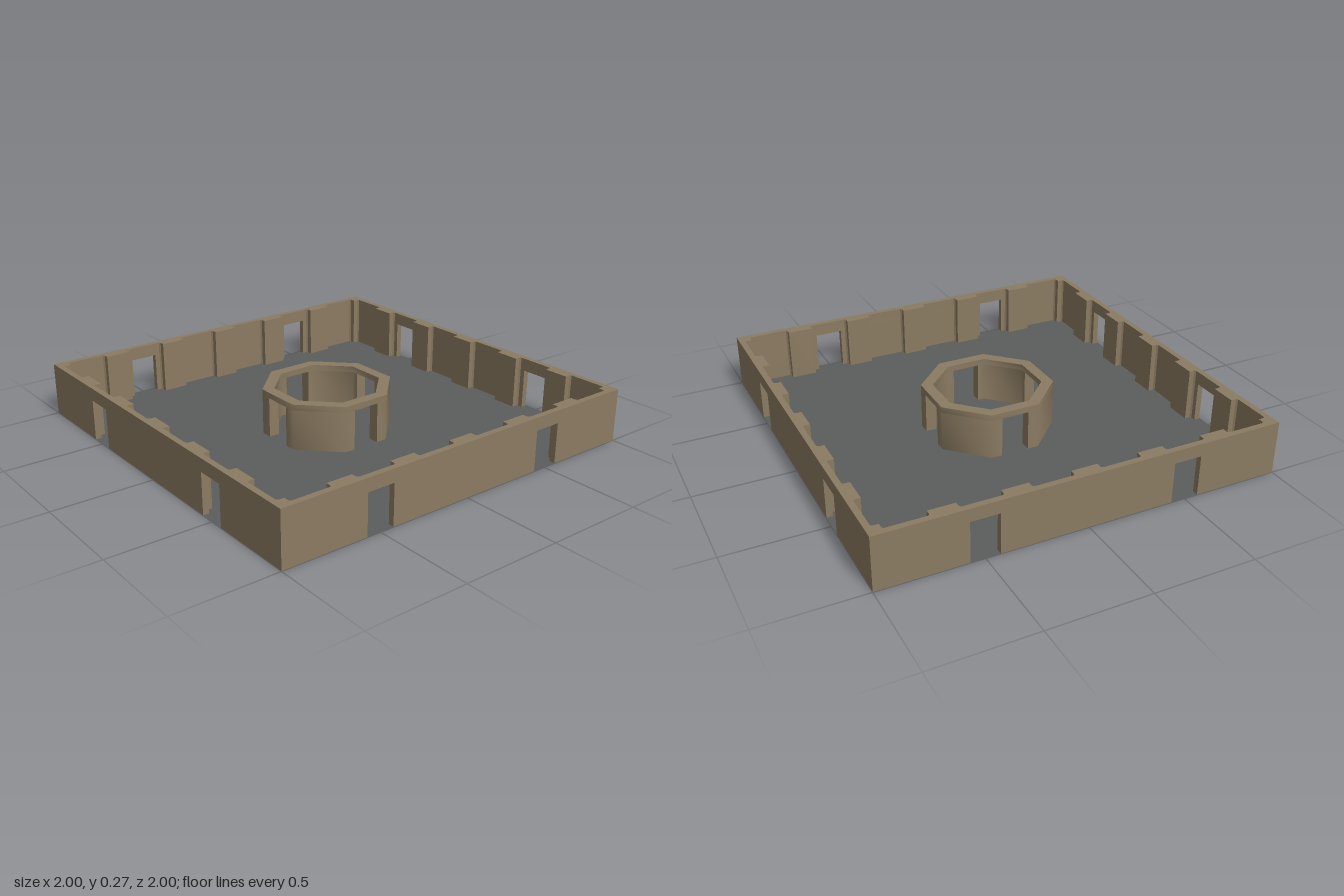
import * as THREE from 'three';
import { toCreasedNormals } from 'three/addons/utils/BufferGeometryUtils.js';

const WALL_H = 0.27, WALL_T = 0.03, DOOR_H = 0.205, DOOR_HALF = 0.07;
const RING_H = 0.235, RING_OUT = 0.305, RING_IN = 0.25;

const toShape = (pts) => new THREE.Shape(pts.map(([x, y]) => new THREE.Vector2(x, y)));

// Extrudes a floor plan upwards; plan y becomes -z.
function extrudePlan(shape, height) {
  return new THREE.ExtrudeGeometry(shape, { depth: height, bevelEnabled: false }).rotateX(-Math.PI / 2);
}

// Corner points of a regular octagon with flat sides on the axes.
function octagon(apothem) {
  const r = apothem / Math.cos(Math.PI / 8);
  return Array.from({ length: 8 }, (_, i) => {
    const a = Math.PI / 8 + i * Math.PI / 4;
    return [r * Math.cos(a), r * Math.sin(a)];
  });
}

export function createModel() {
  const model = new THREE.Group();
  const stone = new THREE.MeshStandardMaterial({ color: 0x8b7b62 });
  stone.name = 'sandstone';
  const slate = new THREE.MeshStandardMaterial({ color: 0x5a5e5b, side: THREE.DoubleSide });
  slate.name = 'slate floor';

  function add(parent, name, geometry, material = stone) {
    const mesh = new THREE.Mesh(geometry, material);
    mesh.name = name;
    parent.add(mesh);
    return mesh;
  }

  add(model, 'floor', new THREE.PlaneGeometry(2, 2).rotateX(-Math.PI / 2), slate);

  // Outer wall panel with two doorways; four fit together in a pinwheel
  const wallShape = toShape([
    [-1, 0.001],
    [-0.5 - DOOR_HALF, 0.001], [-0.5 - DOOR_HALF, DOOR_H], [-0.5 + DOOR_HALF, DOOR_H], [-0.5 + DOOR_HALF, 0.001],
    [0.5 - DOOR_HALF, 0.001], [0.5 - DOOR_HALF, DOOR_H], [0.5 + DOOR_HALF, DOOR_H], [0.5 + DOOR_HALF, 0.001],
    [1 - WALL_T, 0.001], [1 - WALL_T, WALL_H], [-1, WALL_H],
  ]);
  const wallGeo = new THREE.ExtrudeGeometry(wallShape, { depth: WALL_T, bevelEnabled: false });

  // Pilaster with small chamfers where it meets the wall
  const pilasterGeo = extrudePlan(toShape([
    [-0.072, 0], [0.072, 0], [0.065, 0.008], [0.065, 0.035], [-0.065, 0.035], [-0.065, 0.008],
  ]), WALL_H - 0.001);
  const cornerGeo = extrudePlan(toShape([
    [0, 0], [0, 0.042], [-0.008, 0.035], [-0.035, 0.035], [-0.035, 0.008], [-0.042, 0],
  ]), WALL_H - 0.001);

  ['front', 'left', 'back', 'right'].forEach((side, i) => {
    const group = new THREE.Group();
    group.name = `${side}Wall`;
    group.rotation.y = i * Math.PI / 2;
    model.add(group);
    add(group, 'wallPanel', wallGeo).position.z = 1 - WALL_T;
    for (let k = -2; k <= 2; k++) {
      add(group, 'pilaster', pilasterGeo).position.set(k / 3, 0.001, 1 - WALL_T);
    }
    add(group, 'cornerPost', cornerGeo).position.set(1 - WALL_T, 0.001, 1 - WALL_T);
  });

  // Central octagonal enclosure: four wrapped piers under a lintel ring
  const enclosure = new THREE.Group();
  enclosure.name = 'octagonalEnclosure';
  model.add(enclosure);

  const outer = octagon(RING_OUT), inner = octagon(RING_IN);
  const pierShape = toShape([
    [RING_OUT, DOOR_HALF], outer[0], outer[1], [DOOR_HALF, RING_OUT],
    [DOOR_HALF, RING_IN], inner[1], inner[0], [RING_IN, DOOR_HALF],
  ]);
  const pierGeo = toCreasedNormals(extrudePlan(pierShape, DOOR_H - 0.001), 0.9);
  for (let i = 0; i < 4; i++) {
    const pier = add(enclosure, 'pier', pierGeo);
    pier.position.y = 0.001;
    pier.rotation.y = i * Math.PI / 2;
  }

  const ringShape = toShape(outer);
  ringShape.holes.push(toShape(inner));
  const ringGeo = toCreasedNormals(extrudePlan(ringShape, RING_H - DOOR_H), 0.9);
  add(enclosure, 'lintelRing', ringGeo).position.y = DOOR_H;

  return model;
}
